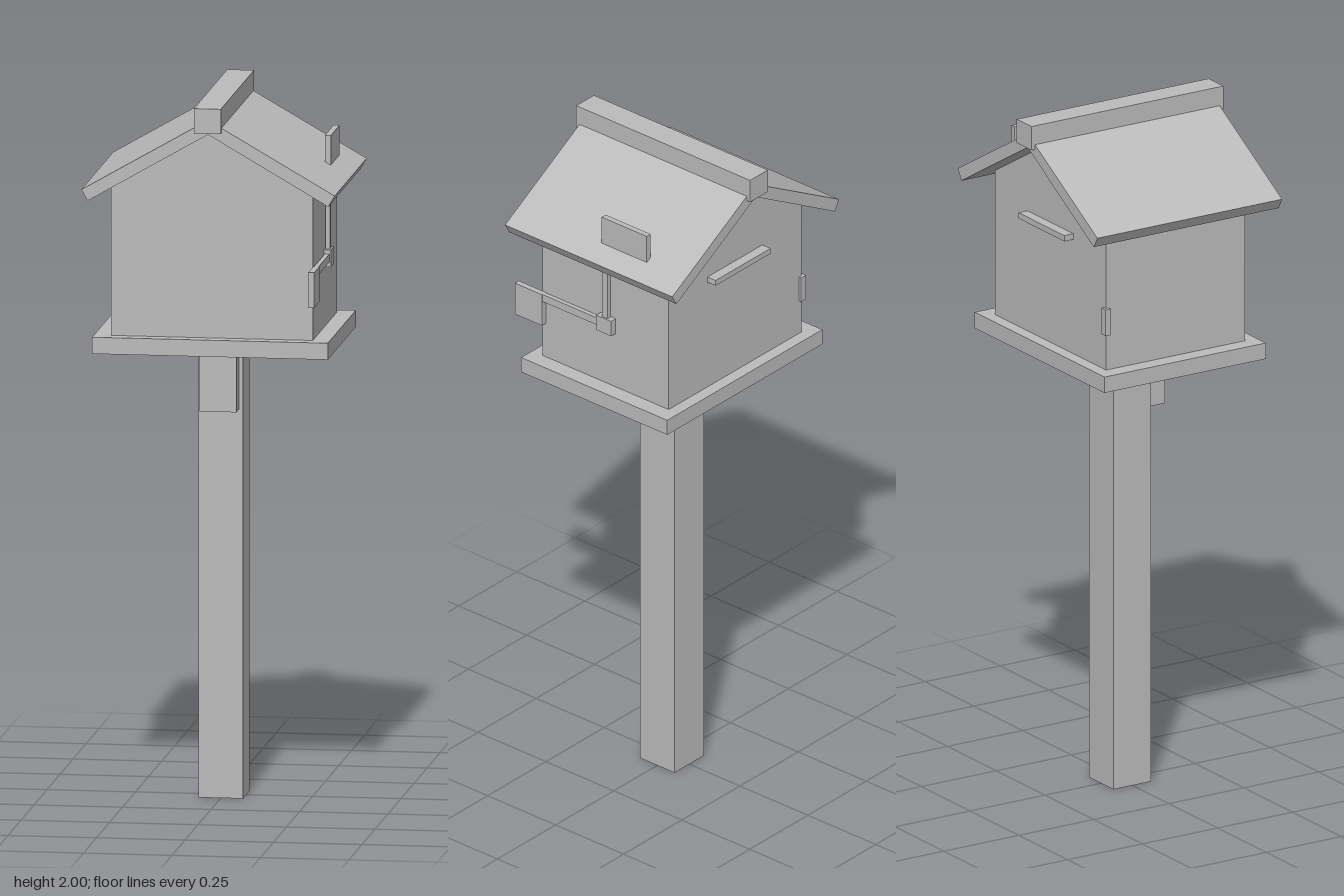
import * as THREE from 'three';

export function createModel() {
  const model = new THREE.Group();
  model.name = 'mailboxHouse';
  const grey = new THREE.MeshStandardMaterial({ color: 0xbbbbbb });
  grey.name = 'plain grey';

  const add = (name, geometry) => {
    const mesh = new THREE.Mesh(geometry, grey);
    mesh.name = name;
    model.add(mesh);
    return mesh;
  };
  // Box given by its extents along each axis
  const box = (name, [x0, x1], [y0, y1], [z0, z1]) =>
    add(name, new THREE.BoxGeometry(x1 - x0, y1 - y0, z1 - z0))
      .position.set((x0 + x1) / 2, (y0 + y1) / 2, (z0 + z1) / 2);
  // Front outline extruded evenly about z = 0
  const prism = (name, points, halfDepth) => {
    const shape = new THREE.Shape(points.map(([x, y]) => new THREE.Vector2(x, y)));
    const geometry = new THREE.ExtrudeGeometry(shape, { depth: halfDepth * 2, bevelEnabled: false });
    return add(name, geometry.translate(0, 0, -halfDepth));
  };

  // Post, bracket and floor
  box('post', [-0.063, 0.063], [0, 1.288], [-0.063, 0.063]);
  box('postBracket', [-0.052, 0.052], [1.105, 1.288], [0.063, 0.117]);
  box('floorBoard', [-0.333, 0.333], [1.288, 1.335], [-0.268, 0.27]);

  // House body with gables, up to the underside of the roof
  const peak = 1.925;
  const slope = Math.tan(Math.PI / 6);
  const wall = 0.285;
  const eaves = peak - wall * slope;
  prism('houseBody', [[-wall, 1.335], [wall, 1.335], [wall, eaves], [0, peak], [-wall, eaves]], 0.232);

  // Roof boards meeting under the ridge cap
  for (const side of [-1, 1]) {
    const outline = [[0, peak], [side * 0.34, peak - 0.34 * slope], [side * 0.358, 1.76], [0, 1.966]];
    prism(side < 0 ? 'rightRoofBoard' : 'leftRoofBoard', outline, 0.308);
  }
  box('ridgeCap', [-0.038, 0.038], [1.93, 2], [-0.32, 0.32]);

  // Signal flag: pivot, two arms and two plates
  box('flagPivot', [0.28, 0.305], [1.507, 1.555], [-0.037, 0.018]);
  box('flagUprightArm', [0.287, 0.3], [1.54, 1.84], [-0.02, 0]);
  box('flagLevelArm', [0.287, 0.3], [1.52, 1.543], [0.01, 0.24]);
  box('raisedFlagPlate', [0.285, 0.302], [1.793, 1.877], [-0.166, 0]);
  box('loweredFlagPlate', [0.285, 0.302], [1.443, 1.543], [0.22, 0.32]);

  // Rear handle and corner latch
  box('rearHandle', [-0.118, 0.118], [1.673, 1.69], [-0.262, -0.228]);
  box('cornerLatch', [-0.296, -0.275], [1.44, 1.517], [-0.24, -0.222]);

  return model;
}
